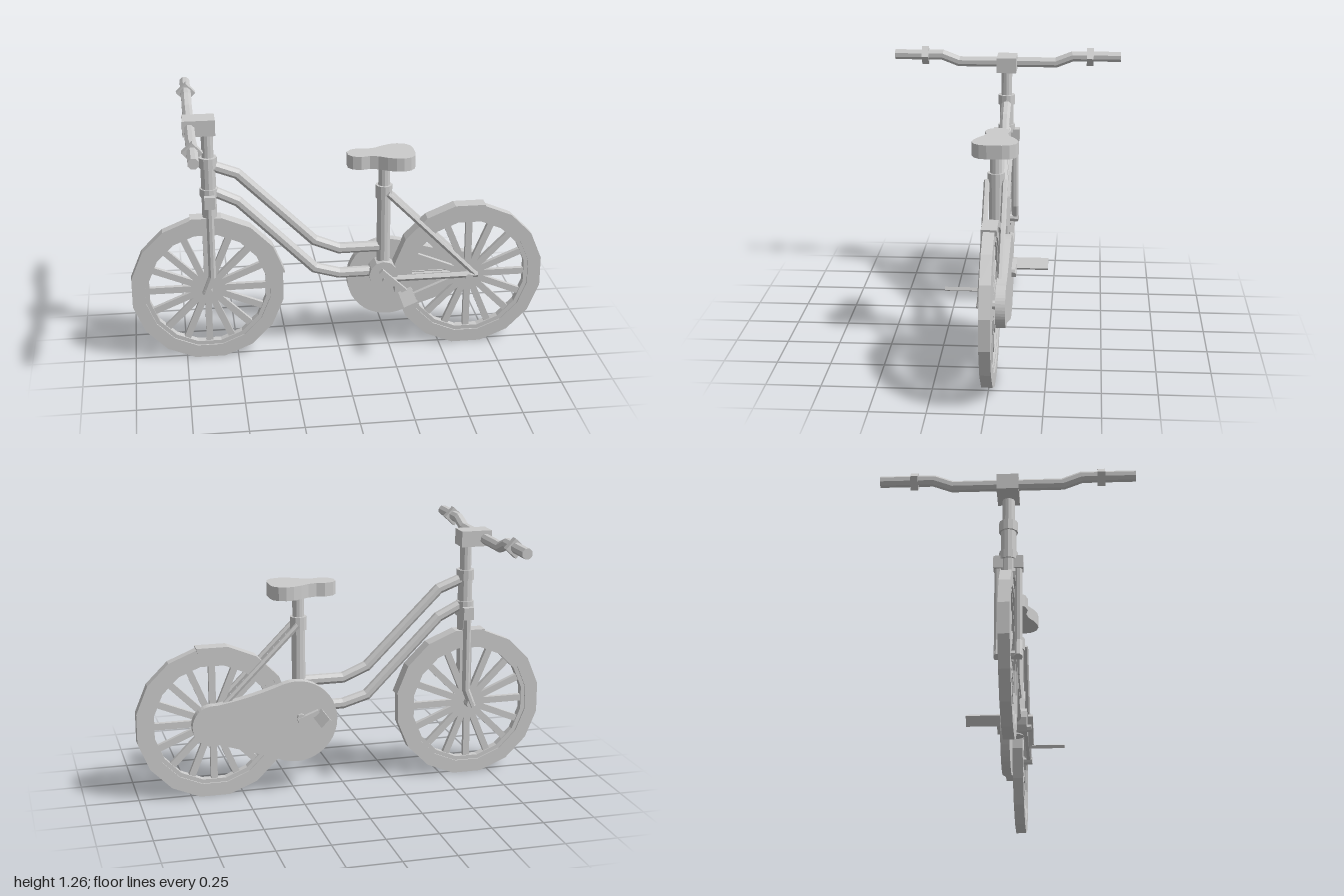
import * as THREE from 'three';

const mat = new THREE.MeshStandardMaterial({ color: 0xcccccc, flatShading: true, side: THREE.DoubleSide });
const V = (x, y, z) => new THREE.Vector3(x, y, z);

export function createModel() {
  const root = new THREE.Group();
  root.name = 'bicycle';

  const add = (name, geo, x = 0, y = 0, z = 0, parent = root) => {
    const m = new THREE.Mesh(geo, mat);
    m.name = name;
    m.position.set(x, y, z);
    parent.add(m);
    return m;
  };
  const box = (name, w, h, d, x, y, z, parent) => add(name, new THREE.BoxGeometry(w, h, d), x, y, z, parent);
  const post = (name, r, y0, y1, x) => add(name, new THREE.CylinderGeometry(r, r, y1 - y0, 12), x, (y0 + y1) / 2, 0);
  const axle = (name, r, len, x, y, z, n = 12) => {
    const m = add(name, new THREE.CylinderGeometry(r, r, len, n), x, y, z);
    m.rotation.x = Math.PI / 2;
    return m;
  };
  // flat outline in x,y given a depth centred on z
  const slab = (shape, depth) =>
    new THREE.ExtrudeGeometry(shape, { depth, bevelEnabled: false }).translate(0, 0, -depth / 2);

  // tube with mitred bends along a path lying in the plane square to axis b
  const bentTube = (name, pts, r, b, n = 8) => {
    const pos = [], idx = [];
    pts.forEach((p, i) => {
      const a = p.clone().sub(pts[Math.max(i - 1, 0)]).normalize();
      const c = pts[Math.min(i + 1, pts.length - 1)].clone().sub(p).normalize();
      const t = a.clone().add(c).normalize();
      const cos = Math.max(t.dot(a), t.dot(c));
      const nrm = b.clone().cross(t);
      for (let k = 0; k < n; k++) {
        const ang = (k + 0.5) / n * Math.PI * 2;
        const q = p.clone().addScaledVector(nrm, Math.cos(ang) * r / cos).addScaledVector(b, Math.sin(ang) * r);
        pos.push(q.x, q.y, q.z);
        if (i) {
          const k2 = (k + 1) % n, lo = (i - 1) * n, hi = i * n;
          idx.push(lo + k, lo + k2, hi + k, lo + k2, hi + k2, hi + k);
        }
      }
    });
    const last = (pts.length - 1) * n;
    for (let k = 1; k < n - 1; k++) idx.push(0, k + 1, k, last, last + k, last + k + 1);
    const g = new THREE.BufferGeometry();
    g.setAttribute('position', new THREE.Float32BufferAttribute(pos, 3));
    g.setIndex(idx);
    g.computeVertexNormals();
    return add(name, g);
  };
  const Z = V(0, 0, 1), X = V(1, 0, 0);
  const path = (list, z = 0) => list.map(([x, y]) => V(x, y, z));

  // wheels: sixteen-sided tyre and rim, sixteen straight spokes
  const arc = (r, from, to) => Array.from({ length: to - from + 1 }, (_, i) => {
    const a = (from + i + 0.5) * Math.PI / 8;
    return new THREE.Vector2(r * Math.cos(a), r * Math.sin(a));
  });
  const ring = (ro, ri, d) => {
    const s = new THREE.Shape(arc(ro, 0, 15));
    s.holes.push(new THREE.Path(arc(ri, 0, 15)));
    return slab(s, d);
  };
  for (const [name, x] of [['frontWheel', -0.637], ['rearWheel', 0.637]]) {
    const wheel = new THREE.Group();
    wheel.name = name;
    wheel.position.set(x, 0.364, 0);
    root.add(wheel);
    add('tyre', ring(0.37, 0.305, 0.05), 0, 0, 0, wheel);
    add('rim', ring(0.306, 0.285, 0.036), 0, 0, 0, wheel);
    for (let i = 0; i < 16; i++) {
      const a = i * Math.PI / 8;
      box('spoke', 0.285, 0.032, 0.022, 0.145 * Math.cos(a), 0.145 * Math.sin(a), 0, wheel).rotation.z = a;
    }
    axle(name + 'Axle', 0.02, 0.12, x, 0.364, 0, 8);
  }

  // mudguards: sectors hugging the tyres
  const guard = (from, to) => slab(new THREE.Shape([...arc(0.38, from, to), ...arc(0.35, from, to).reverse()]), 0.07);
  add('frontMudguard', guard(0, 4), -0.637, 0.364, 0);
  add('rearMudguard', guard(3, 7), 0.637, 0.364, 0);

  // frame tubes
  bentTube('upperFrameTube', path([[-0.61, 0.995], [-0.48, 0.945], [-0.12, 0.585], [0, 0.535], [0.22, 0.535]]), 0.026, Z);
  bentTube('lowerFrameTube', path([[-0.61, 0.87], [-0.48, 0.805], [-0.12, 0.44], [0, 0.405], [0.22, 0.405]]), 0.026, Z);
  post('seatTube', 0.033, 0.33, 0.85, 0.217);
  post('seatPost', 0.028, 0.84, 0.96, 0.217);
  post('seatCollar', 0.04, 0.79, 0.855, 0.217);
  axle('bottomBracket', 0.07, 0.1, 0.213, 0.4, 0);
  for (const s of [-1, 1]) {
    bentTube('seatStay', path([[0.23, 0.82], [0.67, 0.375]], s * 0.042), 0.014, Z, 6);
    bentTube('chainStay', path([[0.21, 0.375], [0.68, 0.375]], s * 0.042), 0.015, Z, 6);
  }

  // steering column
  post('headTube', 0.035, 0.72, 1.03, -0.615);
  post('stem', 0.028, 1.0, 1.17, -0.615);
  post('upperHeadsetRing', 0.043, 0.985, 1.035, -0.615);
  post('lowerHeadsetRing', 0.043, 0.84, 0.88, -0.615);
  box('forkCrown', 0.05, 0.06, 0.134, -0.615, 0.825, 0);
  for (const s of [-1, 1])
    bentTube('forkBlade', path([[-0.615, 0.83], [-0.615, 0.44], [-0.65, 0.35]], s * 0.045), 0.019, Z);
  box('stemBlock', 0.15, 0.076, 0.1, -0.652, 1.19, 0);

  // handlebar with raised grips and clamps
  bentTube('handlebar', [
    V(-0.695, 1.22, -0.58), V(-0.695, 1.22, -0.335), V(-0.695, 1.187, -0.25),
    V(-0.695, 1.187, 0.25), V(-0.695, 1.22, 0.335), V(-0.695, 1.22, 0.58)], 0.026, X);
  for (const s of [-1, 1])
    box('gripClamp', 0.066, 0.066, 0.035, -0.695, 1.217, s * 0.424).rotation.z = 0.75;

  // saddle: narrow nose opening into a broad rear
  const half = [[0.04, 0.02], [0.06, 0.048], [0.1, 0.06], [0.14, 0.05], [0.18, 0.06], [0.22, 0.085],
    [0.26, 0.102], [0.295, 0.106], [0.33, 0.095], [0.352, 0.07], [0.36, 0.035]];
  const outline = [...half, ...half.map(([x, z]) => [x, -z]).reverse()];
  const saddle = add('saddle', slab(new THREE.Shape(outline.map(p => new THREE.Vector2(...p))), 0.065), 0, 0.988, 0);
  saddle.rotation.x = -Math.PI / 2;

  // chain case: large round at the cranks tapering to the rear hub
  const chainCase = new THREE.Shape();
  chainCase.absarc(0.245, 0.355, 0.2, 1.25, Math.PI * 2 - 1.25, false);
  chainCase.quadraticCurveTo(0.46, 0.22, 0.62, 0.27);
  chainCase.absarc(0.645, 0.365, 0.1, -1.7, 1.7, false);
  chainCase.quadraticCurveTo(0.46, 0.49, 0.308, 0.545);
  add('chainCase', slab(chainCase, 0.044), 0, 0, -0.051);

  // cranks and pedals
  const crank = box('leftCrank', 0.17, 0.026, 0.024, 0.258, 0.372, 0.067);
  crank.rotation.z = -0.76;
  box('leftPedal', 0.068, 0.016, 0.17, 0.318, 0.315, 0.145).rotation.z = 0.4;
  box('rightCrank', 0.11, 0.022, 0.024, 0.19, 0.38, -0.083).rotation.z = -0.36;
  box('rightPedal', 0.056, 0.016, 0.165, 0.14, 0.385, -0.16).rotation.z = -0.8;
  axle('crankAxle', 0.02, 0.16, 0.225, 0.375, -0.01, 8);

  return root;
}
